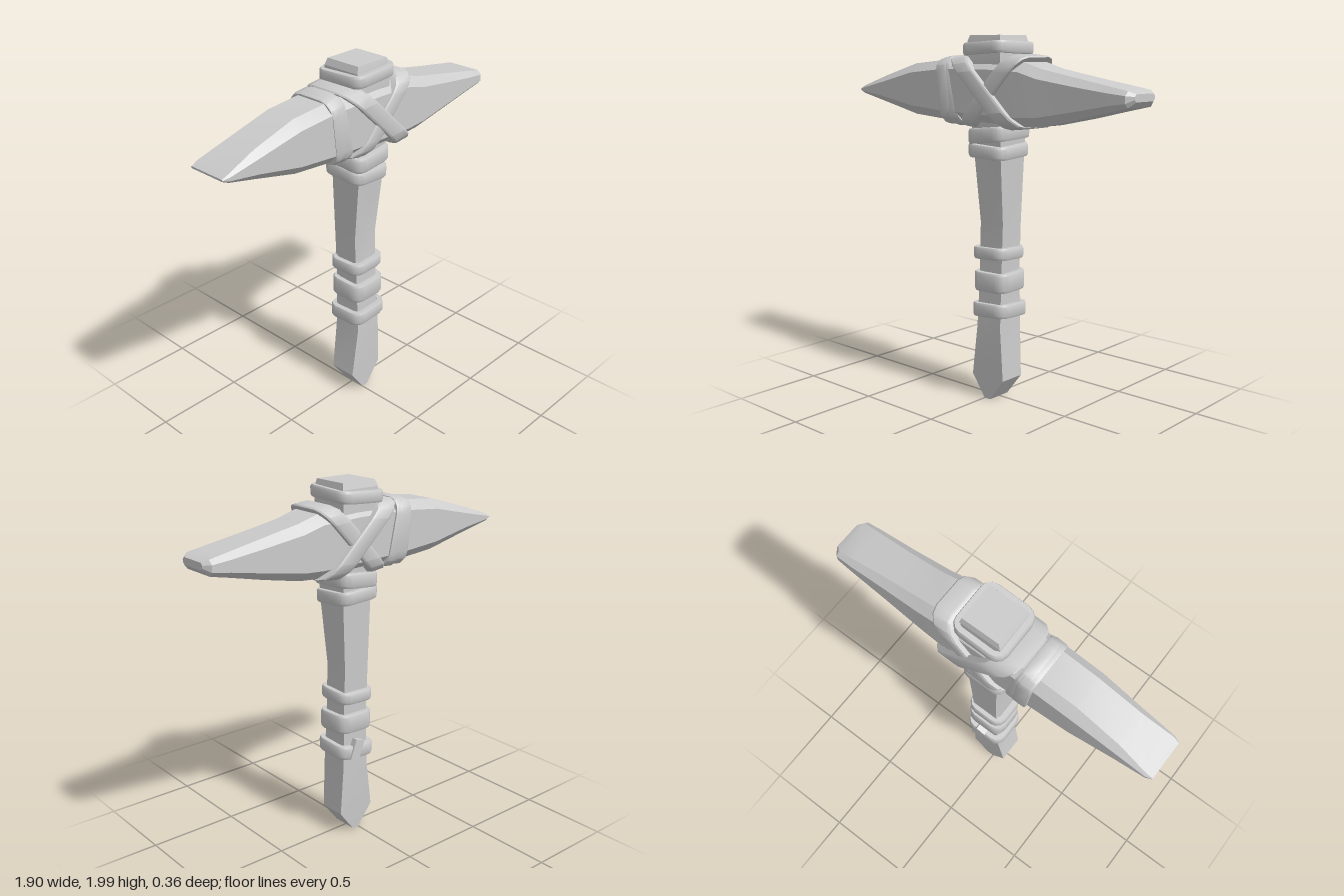
import * as THREE from 'three';
import { toCreasedNormals } from 'three/addons/utils/BufferGeometryUtils.js';

const material = new THREE.MeshStandardMaterial({ color: 0xcccccc });

// Skin a list of equal-length cross-section loops; either capped or joined into a ring.
function loft(name, sections, ring, crease) {
  const n = sections[0].length, m = sections.length, index = [];
  for (let s = 0; s < (ring ? m : m - 1); s++) {
    for (let i = 0; i < n; i++) {
      const j = (i + 1) % n, a = s * n, b = ((s + 1) % m) * n;
      index.push(a + i, a + j, b + j, a + i, b + j, b + i);
    }
  }
  if (!ring) {
    const e = (m - 1) * n;
    for (let i = 1; i < n - 1; i++) index.push(0, i + 1, i, e, e + i, e + i + 1);
  }
  const geometry = new THREE.BufferGeometry();
  geometry.setAttribute('position', new THREE.Float32BufferAttribute(sections.flat(2), 3));
  geometry.setIndex(index);
  const mesh = new THREE.Mesh(toCreasedNormals(geometry, crease), material);
  mesh.name = name;
  return mesh;
}

// Flat strap following a rounded rectangle in (u, v); place(u, v, w) maps it to the model.
function strap(name, hu, hv, radius, width, thick, place) {
  const sections = [];
  for (let c = 0; c < 4; c++) {
    const su = c === 0 || c === 3 ? 1 : -1, sv = c < 2 ? 1 : -1;
    for (let k = 0; k < 4; k++) {
      const a = (c + k / 3) * Math.PI / 2;
      const at = (r, w) => place(su * (hu - radius) + r * Math.cos(a), sv * (hv - radius) + r * Math.sin(a), w);
      const h = width / 2, inner = radius - thick;
      sections.push([at(inner, -h), at(inner, h), at(radius - 0.006, h), at(radius, h - 0.012),
        at(radius, 0.012 - h), at(radius - 0.006, -h)]);
    }
  }
  return loft(name, sections, true, 0.6);
}

export function createModel() {
  const model = new THREE.Group();

  // Square wooden handle with a wedge-shaped foot: y, x range, z range
  const handle = [
    [0.005, 0.0, 0.04, -0.065, 0.08],
    [0.13, -0.088, 0.135, -0.072, 0.082],
    [0.42, -0.047, 0.12, -0.08, 0.087],
    [0.7, -0.042, 0.115, -0.078, 0.072],
    [1.0, -0.045, 0.115, -0.088, 0.06],
    [1.35, -0.055, 0.13, -0.094, 0.095],
    [1.85, -0.09, 0.145, -0.115, 0.12],
    [1.96, -0.088, 0.143, -0.11, 0.115],
    [1.995, -0.075, 0.135, -0.1, 0.108],
  ].map(([y, x0, x1, z0, z1]) => [[x0, y, z1], [x1, y, z1], [x1, y, z0], [x0, y, z0]]);
  model.add(loft('handle', handle, false, 0.2));

  // Pick head with chamfered corners: x, bottom, top, half depth, chamfer
  const head = [
    [-0.955, 1.685, 1.695, 0.11, 0.004],
    [-0.92, 1.67, 1.712, 0.122, 0.012],
    [-0.75, 1.625, 1.772, 0.128, 0.035],
    [-0.5, 1.565, 1.845, 0.138, 0.05],
    [-0.25, 1.545, 1.868, 0.14, 0.05],
    [0.05, 1.535, 1.87, 0.142, 0.05],
    [0.28, 1.53, 1.86, 0.14, 0.05],
    [0.4, 1.538, 1.825, 0.135, 0.048],
    [0.62, 1.583, 1.785, 0.128, 0.04],
    [0.82, 1.63, 1.75, 0.125, 0.03],
    [0.92, 1.652, 1.732, 0.12, 0.022],
    [0.95, 1.68, 1.718, 0.085, 0.012],
  ].map(([x, y0, y1, d, c]) => [
    [y1, -d + c], [y1, d - c], [y1 - c, d], [y0 + c, d],
    [y0, d - c], [y0, -d + c], [y0 + c, -d], [y1 - c, -d],
  ].map(([y, z]) => [x, y, z + 0.006]));
  model.add(loft('pickHead', head, false, 0.45));

  // Straps around the handle: y, x centre, half x, half z, width, tilt along x, tilt along z
  [
    [0.517, 0.038, 0.122, 0.12, 0.075, 0.06, 0.04],
    [0.68, 0.038, 0.117, 0.111, 0.105, 0.02, -0.03],
    [0.833, 0.031, 0.116, 0.112, 0.065, 0.04, 0.03],
    [1.395, 0.028, 0.131, 0.131, 0.07, -0.05, -0.07],
    [1.482, 0.033, 0.13, 0.137, 0.08, 0.1, -0.05],
    [1.925, 0.028, 0.148, 0.152, 0.062, 0.06, 0.04],
  ].forEach(([y, x, hx, hz, width, tx, tz], i) => {
    model.add(strap('handleStrap' + (i + 1), hz, hx, 0.06, width, 0.032,
      (u, v, w) => [x + v, y + w + tx * v + tz * u, u]));
  });

  // Loose strap end at the back of the lowest strap
  const end = new THREE.Mesh(new THREE.BoxGeometry(0.06, 0.12, 0.035), material);
  end.name = 'strapEnd';
  end.position.set(0.06, 0.527, -0.112);
  end.rotation.z = 0.35;
  model.add(end);

  // Straps around the head, slanted along x: name, x, slant, half y, half z, width
  [
    ['crossStrapOver', 0.05, -1.05, 0.188, 0.178, 0.115],
    ['crossStrapUnder', 0.085, 0.92, 0.19, 0.164, 0.105],
    ['sideStrapOuter', -0.24, -0.12, 0.18, 0.155, 0.08],
    ['sideStrapInner', -0.205, -0.22, 0.185, 0.15, 0.07],
  ].forEach(([name, x, slant, hy, hz, width]) => {
    model.add(strap(name, hy, hz, 0.085, width, 0.035,
      (u, v, w) => [x + w + slant * u, 1.703 + u - 0.1 * w * Math.sign(slant), v]));
  });

  return model;
}
